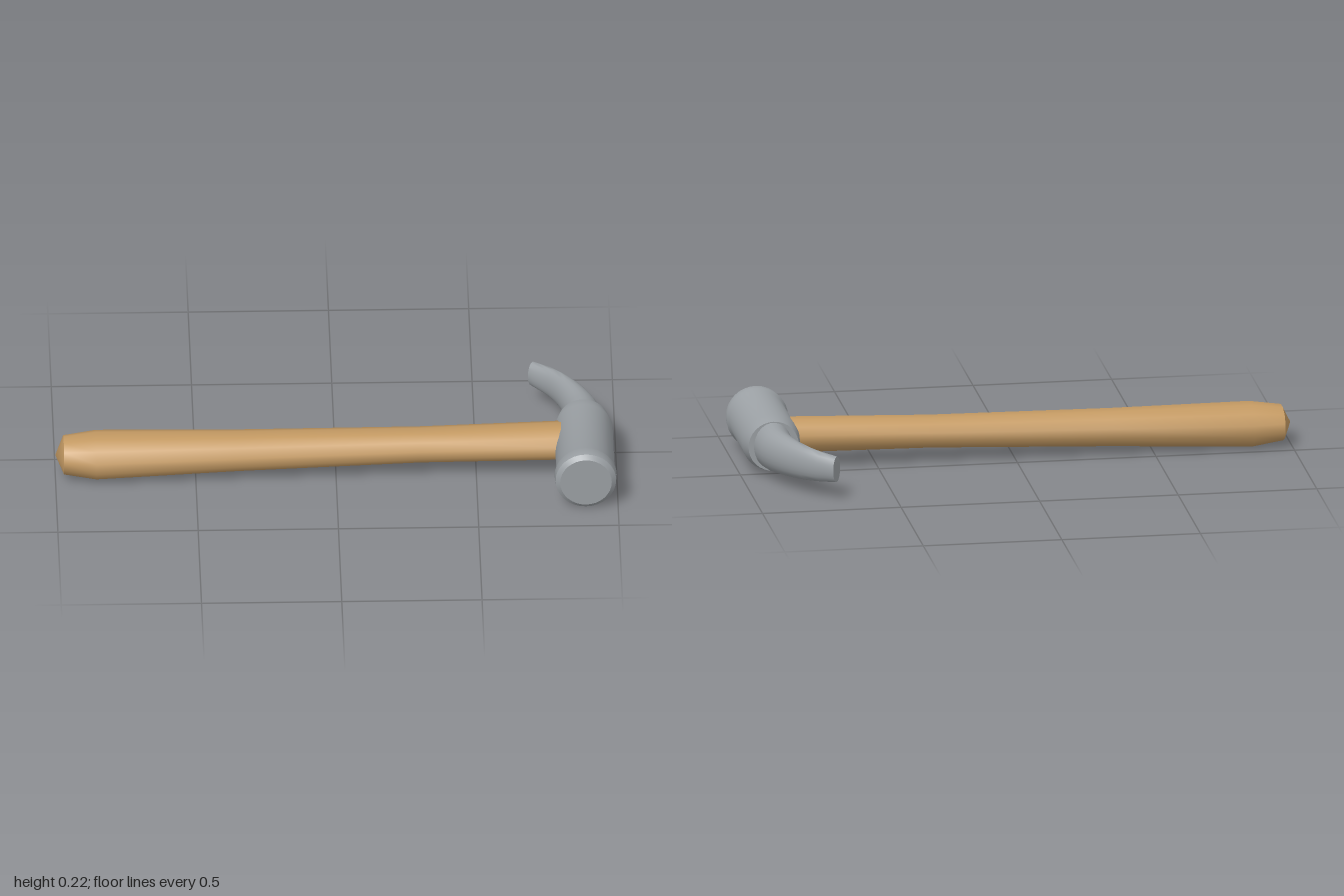
import * as THREE from 'three';
import { toCreasedNormals } from 'three/addons/utils/BufferGeometryUtils.js';

const steel = new THREE.MeshStandardMaterial({ color: 0x9a9fa3 });
steel.name = 'steel';
const wood = new THREE.MeshStandardMaterial({ color: 0xc49a63 });
wood.name = 'wood';

// Skin over elliptical rings; each ring has a centre, a half-axis vector u and a vertical radius ry.
// The two caps are fans to the given points.
function loft(rings, n, startPoint, endPoint) {
  const pos = [], index = [];
  for (const { c, u, ry } of rings) {
    for (let i = 0; i < n; i++) {
      const a = ((i + 0.5) / n) * Math.PI * 2;
      const p = c.clone().addScaledVector(u, Math.cos(a));
      pos.push(p.x, p.y + ry * Math.sin(a), p.z);
    }
  }
  const last = (rings.length - 1) * n, s = rings.length * n, e = s + 1;
  pos.push(...startPoint.toArray(), ...endPoint.toArray());
  for (let i = 0; i < n; i++) {
    const j = (i + 1) % n;
    for (let r = 0; r < last; r += n) {
      index.push(r + i, r + n + i, r + j, r + j, r + n + i, r + n + j);
    }
    index.push(s, i, j, e, last + j, last + i);
  }
  const g = new THREE.BufferGeometry();
  g.setAttribute('position', new THREE.Float32BufferAttribute(pos, 3));
  g.setIndex(index);
  return toCreasedNormals(g, 0.9);
}

function part(name, geometry, material) {
  const mesh = new THREE.Mesh(geometry, material);
  mesh.name = name;
  return mesh;
}

// Wooden handle: swollen at the grip, slim toward the head
function handleGeometry() {
  const k = 1 / Math.cos(Math.PI / 12);
  const rings = [ // x, centre y, half height, half depth
    [-0.97, 0.08, 0.061, 0.084],
    [-0.855, 0.079, 0.077, 0.106],
    [-0.35, 0.09, 0.064, 0.09],
    [0.3, 0.105, 0.055, 0.079],
    [0.86, 0.117, 0.061, 0.084],
  ].map(([x, y, ry, rz]) => ({
    c: new THREE.Vector3(x, y, 0.097),
    u: new THREE.Vector3(0, 0, rz * k),
    ry: ry * k,
  }));
  return loft(rings, 12, new THREE.Vector3(-1, 0.08, 0.097), rings[4].c);
}

// Striking head, turned around the z axis
function headGeometry() {
  const profile = [
    [0, -0.035], [0.091, -0.035], [0.104, 0.02], [0.104, 0.32], [0.111, 0.334],
    [0.108, 0.372], [0.092, 0.386], [0, 0.386],
  ].map(([r, z]) => new THREE.Vector2(r, z));
  const g = toCreasedNormals(new THREE.LatheGeometry(profile, 32), 0.6);
  return g.rotateX(Math.PI / 2).translate(0.885, 0.113, 0);
}

// Curved, tapering claw between an inner and an outer edge curve
function clawGeometry() {
  const y = 0.114;
  const curve = (pts) => new THREE.CatmullRomCurve3(pts.map(([x, z]) => new THREE.Vector3(x, y, z)));
  const inner = curve([[0.818, -0.03], [0.818, -0.104], [0.797, -0.195], [0.759, -0.275], [0.695, -0.345]]);
  const outer = curve([[0.957, -0.03], [0.941, -0.104], [0.888, -0.211], [0.807, -0.318], [0.727, -0.388]]);
  const rings = [];
  for (let i = 0; i <= 12; i++) {
    const t = i / 12, a = inner.getPoint(t), b = outer.getPoint(t);
    rings.push({
      c: a.clone().add(b).multiplyScalar(0.5),
      u: b.clone().sub(a).multiplyScalar(0.5),
      ry: 0.087 - 0.034 * t - 0.006 * t * t,
    });
  }
  return loft(rings, 24, rings[0].c, rings[12].c);
}

export function createModel() {
  const model = new THREE.Group();
  model.name = 'clawHammer';
  model.add(
    part('handle', handleGeometry(), wood),
    part('strikingHead', headGeometry(), steel),
    part('claw', clawGeometry(), steel),
  );
  return model;
}
